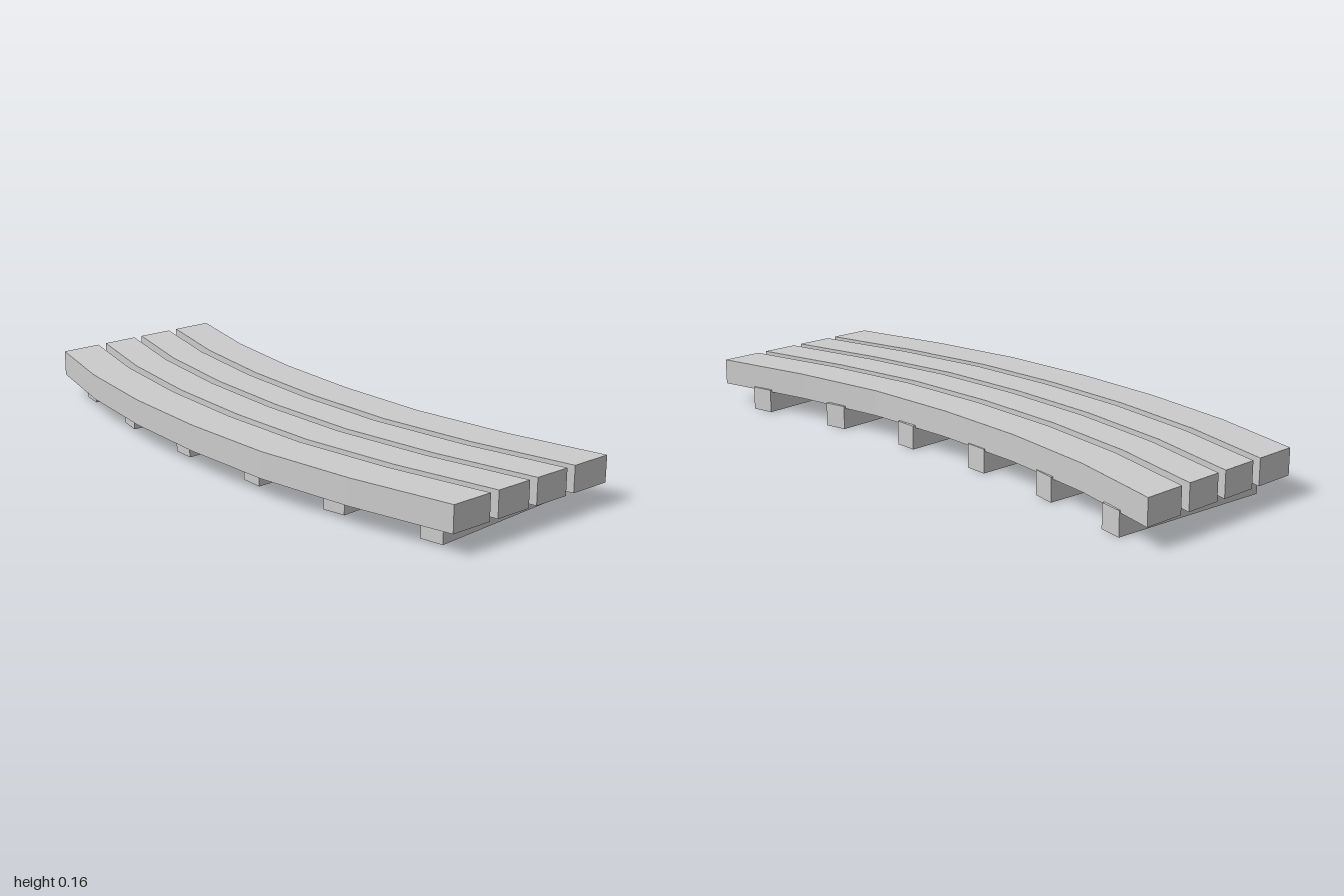
import * as THREE from 'three';

const material = new THREE.MeshStandardMaterial({ color: 0xcccccc, flatShading: true });

// Upright prism from a plan outline of [x, z] points
function prism(name, outline, bottom, top) {
  const shape = new THREE.Shape(outline.map(([x, z]) => new THREE.Vector2(x, -z)));
  const geometry = new THREE.ExtrudeGeometry(shape, { depth: top - bottom, bevelEnabled: false });
  geometry.rotateX(-Math.PI / 2).translate(0, bottom, 0);
  const mesh = new THREE.Mesh(geometry, material);
  mesh.name = name;
  return mesh;
}

// Rear edge of the curved seat, and the sweep from rear edge to front edge
const REAR = [
  [-0.94, -0.438], [-0.635, -0.328], [-0.315, -0.25], [0.003, -0.203],
  [0.328, -0.182], [0.66, -0.2], [1, -0.246],
];
const SWEEP = [-0.062, 0.619];
const edgeAt = (t) => REAR.map(([x, z]) => [x + SWEEP[0] * t, z + SWEEP[1] * t]);

// Each slat spans a fraction of the seat depth; the outer two are wider
const SLATS = [[0, 0.223], [0.276, 0.473], [0.524, 0.723], [0.774, 1]];

// Cross bearers: rear-left x, rear-left z, rear-right z, sideways lean of the front end
const BEARERS = [
  [-0.82, -0.4, -0.378, -0.095],
  [-0.505, -0.305, -0.281, -0.085],
  [-0.187, -0.236, -0.225, -0.062],
  [0.139, -0.206, -0.197, -0.042],
  [0.463, -0.197, -0.205, -0.022],
  [0.795, -0.226, -0.234, -0.01],
];
const BEARER_WIDTH = 0.075;
const BEARER_LENGTH = 0.553;

export function createModel() {
  const group = new THREE.Group();
  group.name = 'curvedBench';

  // Curved seat slats
  SLATS.forEach(([a, b], i) => {
    group.add(prism(`seatSlat${i + 1}`, [...edgeAt(b), ...edgeAt(a).reverse()], 0.07, 0.155));
  });

  // Cross bearers, let slightly into the underside of the slats
  BEARERS.forEach(([x, zl, zr, lean], i) => {
    const xr = x + BEARER_WIDTH;
    group.add(prism(`crossBearer${i + 1}`, [
      [x + lean, zl + BEARER_LENGTH], [xr + lean, zr + BEARER_LENGTH], [xr, zr], [x, zl],
    ], 0, 0.078));
  });

  return group;
}
